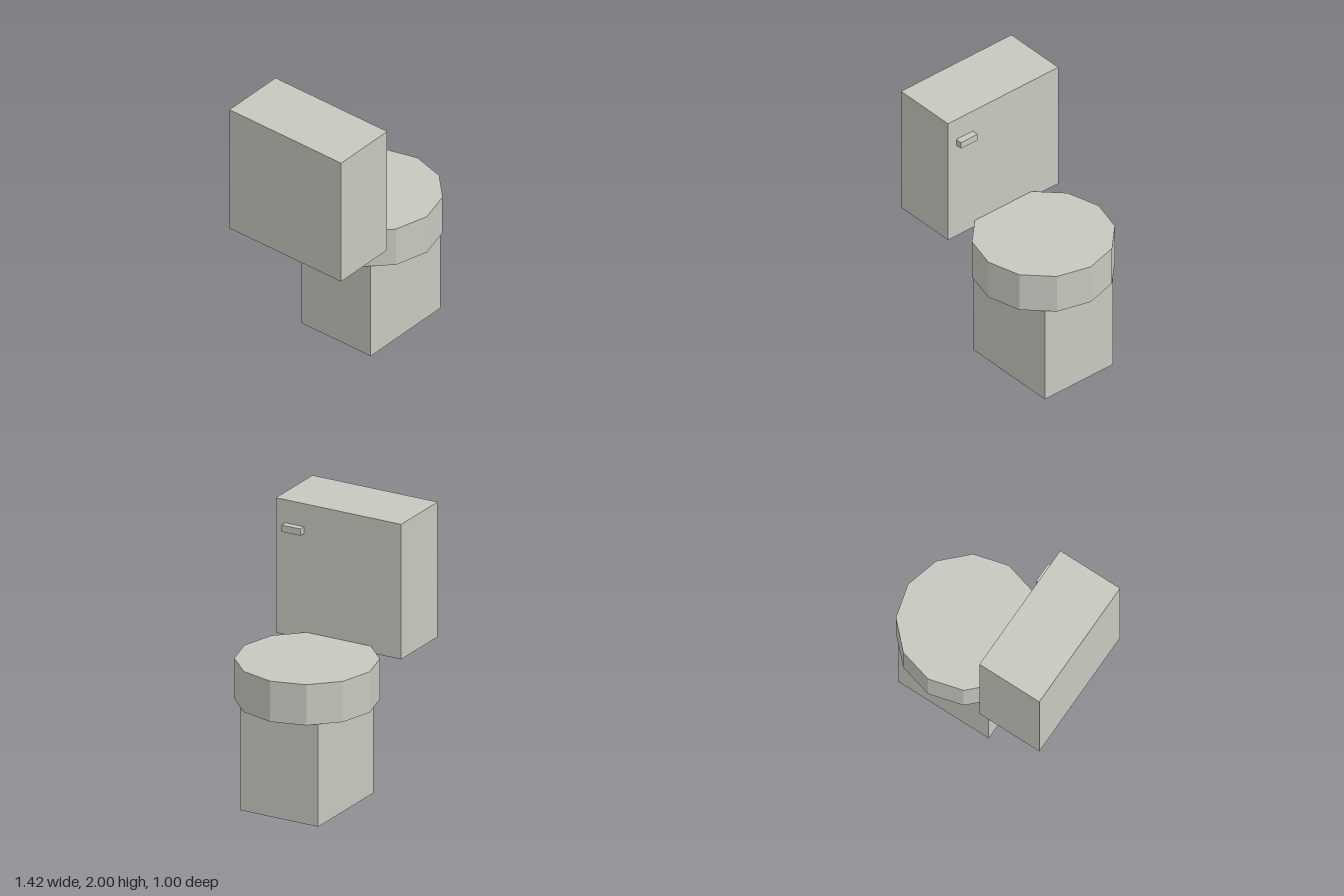
import * as THREE from 'three';

export function createModel() {
  const model = new THREE.Group();
  const ceramic = new THREE.MeshStandardMaterial({ color: 0xc8c8c0, flatShading: true });
  ceramic.name = 'paleGrey';

  const add = (name, geometry, x, y, z) => {
    const mesh = new THREE.Mesh(geometry, ceramic);
    mesh.name = name;
    mesh.position.set(x, y, z);
    model.add(mesh);
  };

  // Pedestal standing on the floor
  add('pedestal', new THREE.BoxGeometry(0.75, 0.755, 0.62), 0.21, 0.3775, 0);

  // Twelve-sided bowl
  add('bowl', new THREE.CylinderGeometry(0.5, 0.5, 0.3, 12), 0.21, 0.905, 0);

  // Tall tank overlapping the bowl's edge
  add('tank', new THREE.BoxGeometry(0.495, 0.995, 1), -0.4625, 1.5025, 0);

  // Flush handle on the tank's face
  add('flushHandle', new THREE.BoxGeometry(0.05, 0.05, 0.15), -0.19, 1.805, 0.35);

  return model;
}
